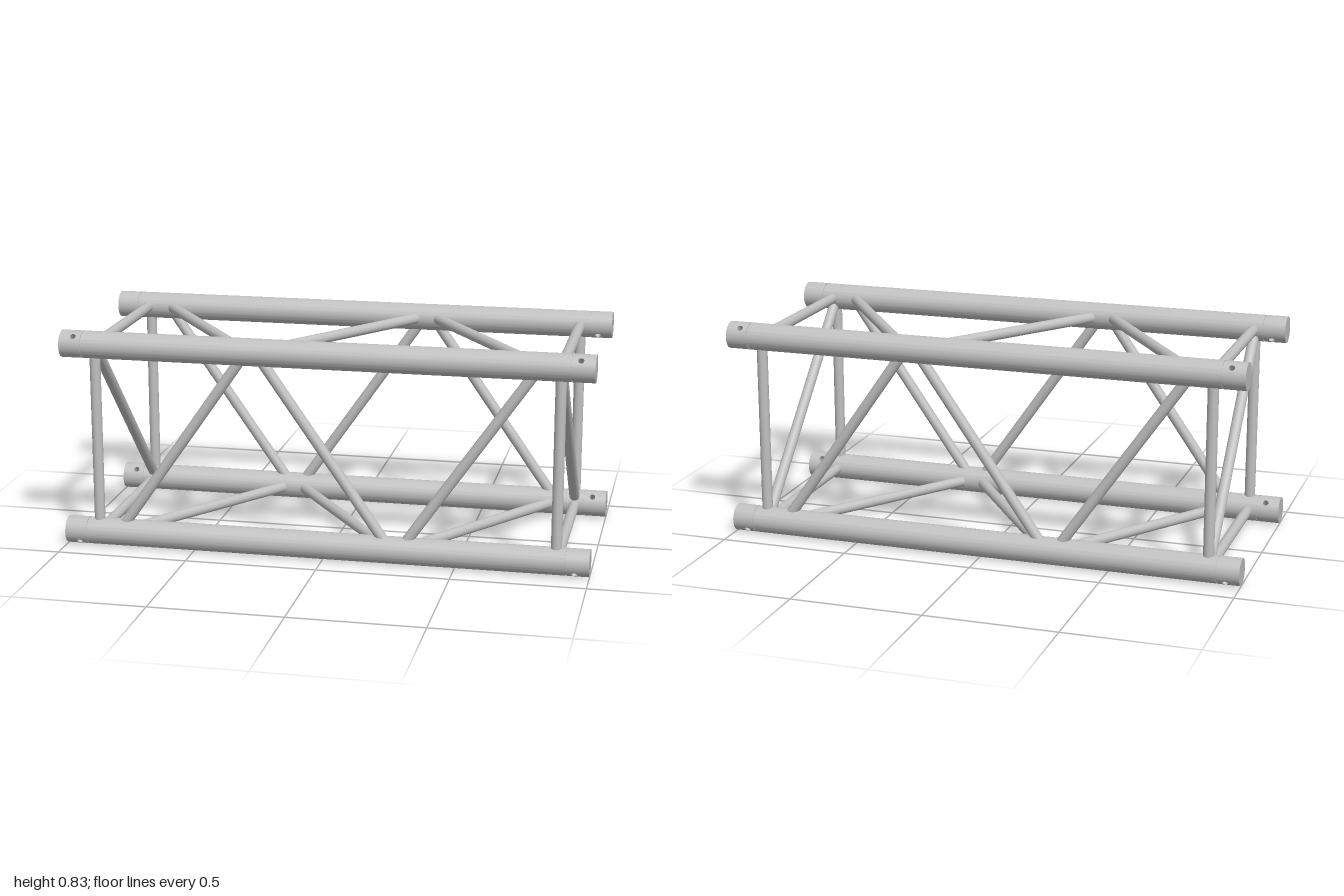
import * as THREE from 'three';
import { toCreasedNormals } from 'three/addons/utils/BufferGeometryUtils.js';

const R = 0.0515;        // chord radius
const STRUT_R = 0.0203;  // brace radius
const HALF = 0.366;      // chord offset from the centre line
const MID_Y = 0.4175;
const SEAM = 0.915;      // where the end sleeves begin
const HOLE = { x: 0.9465, r: 0.011 };
const PATCH = 0.5;       // half angle of the drilled patch of a sleeve

const aluminium = new THREE.MeshStandardMaterial({ color: 0xc0c0c0, side: THREE.DoubleSide });
aluminium.name = 'aluminium';

function add(parent, geometry, name) {
  const mesh = new THREE.Mesh(geometry, aluminium);
  mesh.name = name;
  parent.add(mesh);
  return mesh;
}

// Round bar between two points
function addStrut(parent, a, b, name) {
  const dir = b.clone().sub(a);
  const mesh = add(parent, new THREE.CylinderGeometry(STRUT_R, STRUT_R, dir.length(), 28), name);
  mesh.position.copy(a).add(b).multiplyScalar(0.5);
  mesh.quaternion.setFromUnitVectors(new THREE.Vector3(0, 1, 0), dir.normalize());
}

// Curved rectangle with a round hole, bent around the x axis
function drilledPatch(x0, x1) {
  const geo = new THREE.RingGeometry(1, 2, 48, 8);
  const pos = geo.attributes.position, nor = geo.attributes.normal;
  const mid = (x0 + x1) / 2, half = (x1 - x0) / 2;
  for (let i = 0; i < pos.count; i++) {
    const len = Math.hypot(pos.getX(i), pos.getY(i));
    const c = pos.getX(i) / len, s = pos.getY(i) / len;
    const m = Math.max(Math.abs(c), Math.abs(s)), k = len - 1;
    const x = THREE.MathUtils.lerp(HOLE.x + c * HOLE.r, mid + (c / m) * half, k);
    const t = -THREE.MathUtils.lerp((s * HOLE.r) / R, (s / m) * PATCH, k);
    pos.setXYZ(i, x, R * Math.cos(t), R * Math.sin(t));
    nor.setXYZ(i, 0, Math.cos(t), Math.sin(t));
  }
  return geo;
}

// Sleeve at the +x end, with a pin hole drilled through along y
function makeSleeve() {
  const sleeve = new THREE.Group();
  sleeve.name = 'endSleeve';
  const x0 = SEAM + 0.002, x1 = 1;
  for (const turn of [0, Math.PI]) {
    const wall = new THREE.CylinderGeometry(R, R, x1 - x0, 24, 1, true,
      PATCH - Math.PI / 2 + turn, Math.PI - 2 * PATCH);
    wall.rotateZ(-Math.PI / 2).translate((x0 + x1) / 2, 0, 0);
    add(sleeve, wall, 'sleeveWall');
    add(sleeve, drilledPatch(x0, x1).rotateX(turn), 'drilledWall');
  }
  add(sleeve, new THREE.CircleGeometry(R, 48).rotateY(Math.PI / 2).translate(x1, 0, 0), 'endCap');
  add(sleeve, new THREE.CircleGeometry(R, 48).rotateY(-Math.PI / 2).translate(x0, 0, 0), 'innerCap');
  const bore = new THREE.CylinderGeometry(HOLE.r, HOLE.r, 2 * R * 0.98, 24, 1, true);
  add(sleeve, bore.translate(HOLE.x, 0, 0), 'pinHole');
  return sleeve;
}

// Main tube with a fine groove before each sleeve
function makeChord(sy, sz) {
  const chord = new THREE.Group();
  const e = SEAM - 0.002, g = SEAM + 0.003, gr = R - 0.003;
  const profile = [[gr, -g], [gr, -e], [R, -e], [R, e], [gr, e], [gr, g]]
    .map(([r, y]) => new THREE.Vector2(r, y));
  const tube = toCreasedNormals(new THREE.LatheGeometry(profile, 48), 0.6);
  add(chord, tube.rotateZ(-Math.PI / 2), 'chordTube');
  const leftEnd = makeSleeve(), rightEnd = makeSleeve();
  rightEnd.rotation.y = Math.PI;
  chord.add(leftEnd, rightEnd);
  chord.position.set(0, MID_Y + sy * HALF, sz * HALF);
  chord.rotation.x = Math.atan2(sz, sy); // pin holes point outward at 45 degrees
  return chord;
}

export function createModel() {
  const model = new THREE.Group();
  model.name = 'boxTruss';

  // Four chords, as [y sign, z sign]
  const corners = { frontTop: [1, 1], frontBottom: [-1, 1], backBottom: [-1, -1], backTop: [1, -1] };
  const at = (corner, x) => {
    const [sy, sz] = corners[corner];
    return new THREE.Vector3(x, MID_Y + sy * HALF, sz * HALF);
  };
  for (const [name, [sy, sz]] of Object.entries(corners)) {
    const chord = makeChord(sy, sz);
    chord.name = name + 'Chord';
    model.add(chord);
  }

  // Square end frames, each with one diagonal
  const names = Object.keys(corners);
  for (const x of [-0.875, 0.875]) {
    const frame = new THREE.Group();
    frame.name = x > 0 ? 'leftEndFrame' : 'rightEndFrame';
    names.forEach((n, i) => addStrut(frame, at(n, x), at(names[(i + 1) % 4], x), 'frameBar'));
    addStrut(frame, at('frontTop', x), at('backBottom', x), 'frameDiagonal');
    model.add(frame);
  }

  // Zigzag bracing on the four long sides
  const spans = [[-0.8, -0.29], [-0.255, 0.255], [0.29, 0.8]];
  const sides = {
    frontBracing: ['frontBottom', 'frontTop'],
    backBracing: ['backTop', 'backBottom'],
    topBracing: ['backTop', 'frontTop'],
    bottomBracing: ['frontBottom', 'backBottom'],
  };
  for (const [name, pair] of Object.entries(sides)) {
    const bracing = new THREE.Group();
    bracing.name = name;
    spans.forEach(([x0, x1], i) =>
      addStrut(bracing, at(pair[i % 2], x0), at(pair[(i + 1) % 2], x1), 'diagonalBrace'));
    model.add(bracing);
  }
  return model;
}
